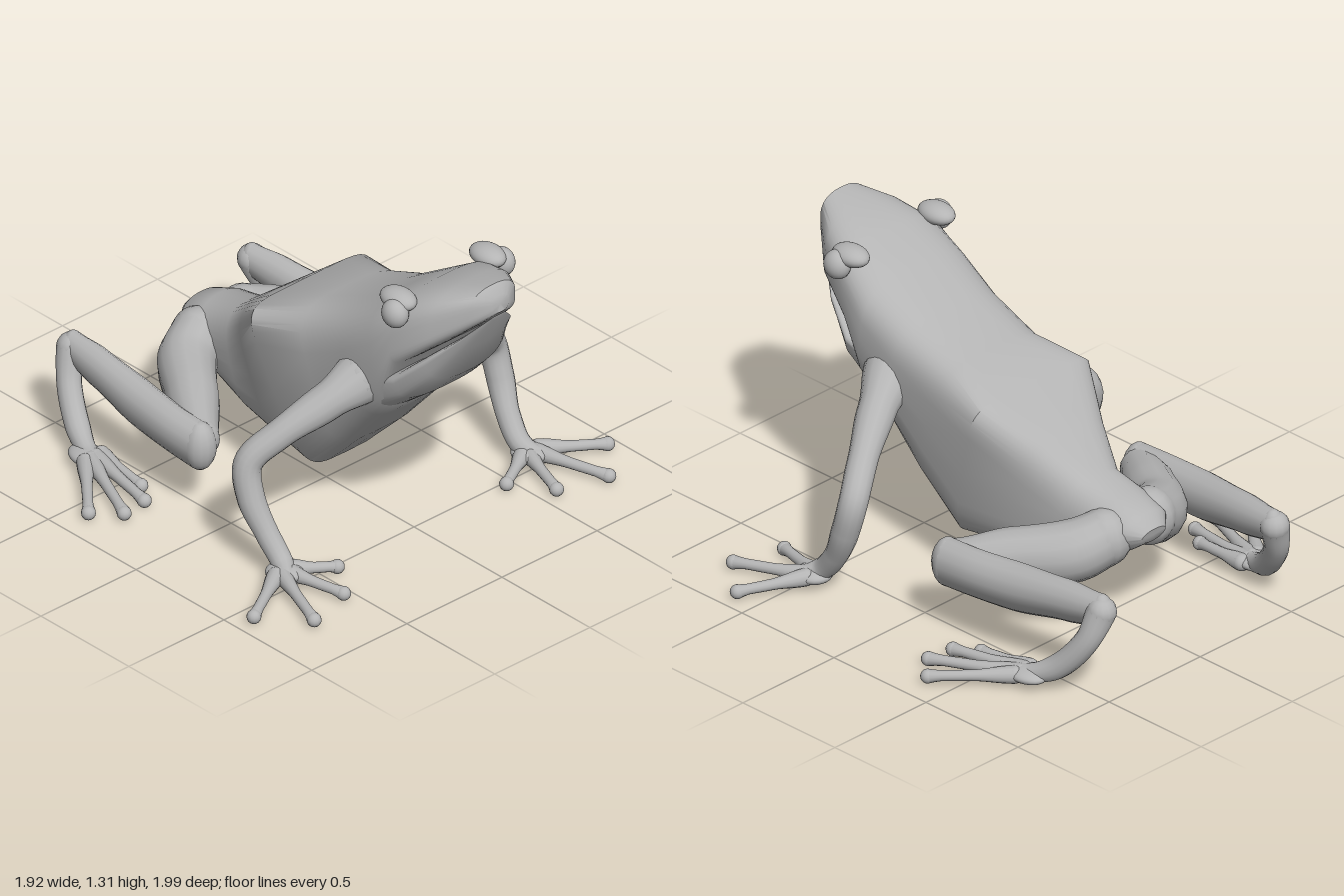
import * as THREE from 'three';
import { mergeGeometries, toCreasedNormals } from 'three/addons/utils/BufferGeometryUtils.js';

const skin = new THREE.MeshStandardMaterial({ color: 0xb4b4b4 });
skin.name = 'grey skin';

function part(name, geometry) {
  const m = new THREE.Mesh(geometry, skin);
  m.name = name;
  return m;
}

// Skin over slanted rings: [topZ, topY, bottomZ, bottomY, topHalfWidth, bottomHalfWidth, topRoundness, bottomRoundness]
function loft(stations, crease) {
  const N = 40, pos = [], idx = [];
  const ring = ([tz, ty, bz, by, wt, wb, et, eb], shrink = 1) => {
    for (let j = 0; j < N; j++) {
      const a = (j / N) * Math.PI * 2, s = Math.sin(a), c = Math.cos(a);
      const e = c > 0 ? et : eb;
      const v = Math.sign(c) * Math.abs(c) ** e * shrink;
      const u = (1 - v) / 2;
      const x = Math.sign(s) * Math.abs(s) ** e * (wt + (wb - wt) * u) * shrink;
      pos.push(x, ty + (by - ty) * u, tz + (bz - tz) * u);
    }
  };
  ring(stations[0], 0.001);
  stations.forEach((s) => ring(s));
  ring(stations[stations.length - 1], 0.001);
  for (let i = 0; i < stations.length + 1; i++) {
    for (let j = 0; j < N; j++) {
      const k = (j + 1) % N, a = i * N + j, b = i * N + k;
      idx.push(a, b, a + N, b, b + N, a + N);
    }
  }
  const g = new THREE.BufferGeometry();
  g.setAttribute('position', new THREE.Float32BufferAttribute(pos, 3));
  g.setIndex(idx);
  return toCreasedNormals(g, crease);
}

// Tapered limb through [x, y, z, radius] points with rounded ends; tall stretches it in y
function limb(points, side, segs = 24, tall = 1) {
  const curve = new THREE.CatmullRomCurve3(points.map(([x, y, z]) => new THREE.Vector3(x * side, y, z)));
  const radial = 14, last = points.length - 1;
  const g = new THREE.TubeGeometry(curve, segs, 1, radial, false);
  const p = g.attributes.position, v = new THREE.Vector3();
  for (let i = 0; i <= segs; i++) {
    const c = curve.getPointAt(i / segs);
    const t = curve.getUtoTmapping(i / segs) * last;
    const k = Math.min(Math.floor(t), last - 1);
    const r = THREE.MathUtils.lerp(points[k][3], points[k + 1][3], THREE.MathUtils.smoothstep(t - k, 0, 1));
    for (let j = 0; j <= radial; j++) {
      const n = i * (radial + 1) + j;
      v.fromBufferAttribute(p, n).sub(c).multiplyScalar(r);
      v.y *= tall;
      v.add(c);
      p.setXYZ(n, v.x, v.y, v.z);
    }
  }
  const caps = [points[0], points[last]].map(([x, y, z, r]) =>
    new THREE.SphereGeometry(r, 14, 10).scale(1, tall, 1).translate(x * side, y, z));
  return mergeGeometries([g, ...caps]);
}

// Thin toe from a base to a round pad at the tip
function toe([bx, by, bz], [tx, tz], side) {
  const mid = (a, b, f) => a + (b - a) * f;
  return limb([
    [bx, by, bz, 0.036],
    [mid(bx, tx, 0.5), 0.048, mid(bz, tz, 0.5), 0.022],
    [mid(bx, tx, 0.85), 0.042, mid(bz, tz, 0.85), 0.021],
    [tx, 0.038, tz, 0.029],
  ], side, 12);
}

function blob(x, y, z, sx, sy, sz, side) {
  return new THREE.SphereGeometry(1, 24, 16).scale(sx, sy, sz).translate(x * side, y, z);
}

export function createModel() {
  const frog = new THREE.Group();
  frog.name = 'frog';

  // Upper head, back with its angular hump, and rump
  frog.add(part('body', loft([
    [0.985, 1.285, 0.995, 1.215, 0.05, 0.04, 0.8, 0.7],
    [0.95, 1.32, 0.935, 1.155, 0.115, 0.13, 0.8, 0.4],
    [0.83, 1.295, 0.82, 1.05, 0.195, 0.235, 0.75, 0.35],
    [0.68, 1.245, 0.66, 0.915, 0.265, 0.285, 0.7, 0.4],
    [0.53, 1.15, 0.6, 0.68, 0.3, 0.28, 0.65, 0.6],
    [0.35, 1.035, 0.49, 0.57, 0.295, 0.27, 0.6, 0.6],
    [0.12, 0.94, 0.31, 0.37, 0.29, 0.26, 0.5, 0.5],
    [-0.1, 0.875, 0.12, 0.18, 0.345, 0.23, 0.3, 0.45],
    [-0.29, 0.73, -0.1, 0.2, 0.235, 0.2, 0.5, 0.5],
    [-0.45, 0.605, -0.28, 0.22, 0.15, 0.18, 0.7, 0.6],
    [-0.6, 0.575, -0.48, 0.28, 0.15, 0.16, 0.8, 0.8],
    [-0.71, 0.53, -0.66, 0.36, 0.13, 0.12, 0.9, 0.9],
    [-0.755, 0.48, -0.74, 0.42, 0.07, 0.06, 1, 1],
  ], 0.75)));

  // Lower jaw set just below the mouth line
  frog.add(part('lowerJaw', loft([
    [0.985, 1.2, 0.975, 1.175, 0.04, 0.03, 0.6, 0.8],
    [0.91, 1.115, 0.895, 1.03, 0.145, 0.09, 0.4, 0.8],
    [0.79, 1.005, 0.805, 0.86, 0.235, 0.16, 0.4, 0.8],
    [0.66, 0.885, 0.69, 0.745, 0.28, 0.22, 0.4, 0.7],
    [0.52, 0.85, 0.57, 0.65, 0.27, 0.24, 0.5, 0.7],
  ], 0.9)));

  for (const side of [1, -1]) {
    const label = side > 0 ? 'left' : 'right';
    const add = (name, g) => frog.add(part(label + name, g));

    // Eye and brow
    add('Eye', blob(0.28, 1.19, 0.695, 0.05, 0.06, 0.058, side));
    add('Brow', blob(0.235, 1.225, 0.665, 0.06, 0.042, 0.085, side));

    // Front leg
    add('Arm', limb([
      [0.22, 0.78, 0.46, 0.11], [0.36, 0.69, 0.4, 0.077], [0.53, 0.57, 0.31, 0.06],
      [0.64, 0.46, 0.25, 0.058], [0.655, 0.32, 0.28, 0.056], [0.635, 0.18, 0.35, 0.048],
      [0.63, 0.085, 0.43, 0.045], [0.66, 0.055, 0.49, 0.035],
    ], side, 48));
    add('Palm', blob(0.645, 0.06, 0.46, 0.075, 0.033, 0.075, side));
    const fingerTips = [[0.93, 0.595], [0.775, 0.77], [0.56, 0.705], [0.445, 0.545]];
    fingerTips.forEach((tip, i) => add('Finger' + (i + 1), toe([0.69 - i * 0.028, 0.06, 0.46], tip, side)));

    // Folded back leg
    add('Thigh', limb([
      [0.12, 0.43, -0.6, 0.11], [0.23, 0.39, -0.54, 0.118], [0.37, 0.355, -0.36, 0.105],
      [0.5, 0.315, -0.18, 0.08],
    ], side, 28, 1.08));
    add('Shank', limb([
      [0.525, 0.305, -0.15, 0.066], [0.525, 0.315, -0.3, 0.065], [0.51, 0.33, -0.5, 0.066],
      [0.485, 0.36, -0.76, 0.056], [0.47, 0.375, -0.93, 0.045],
    ], side, 32, 1.6));
    add('Ankle', limb([
      [0.475, 0.375, -0.935, 0.06], [0.52, 0.25, -0.9, 0.05], [0.57, 0.12, -0.8, 0.05],
      [0.61, 0.065, -0.7, 0.04], [0.63, 0.055, -0.63, 0.032],
    ], side, 28));
    add('Sole', blob(0.625, 0.06, -0.67, 0.068, 0.032, 0.1, side));
    const toeTips = [[0.885, -0.395], [0.785, -0.3], [0.665, -0.315], [0.6, -0.405]];
    toeTips.forEach((tip, i) => add('Toe' + (i + 1), toe([0.665 - i * 0.028, 0.058, -0.65], tip, side)));
  }
  return frog;
}
